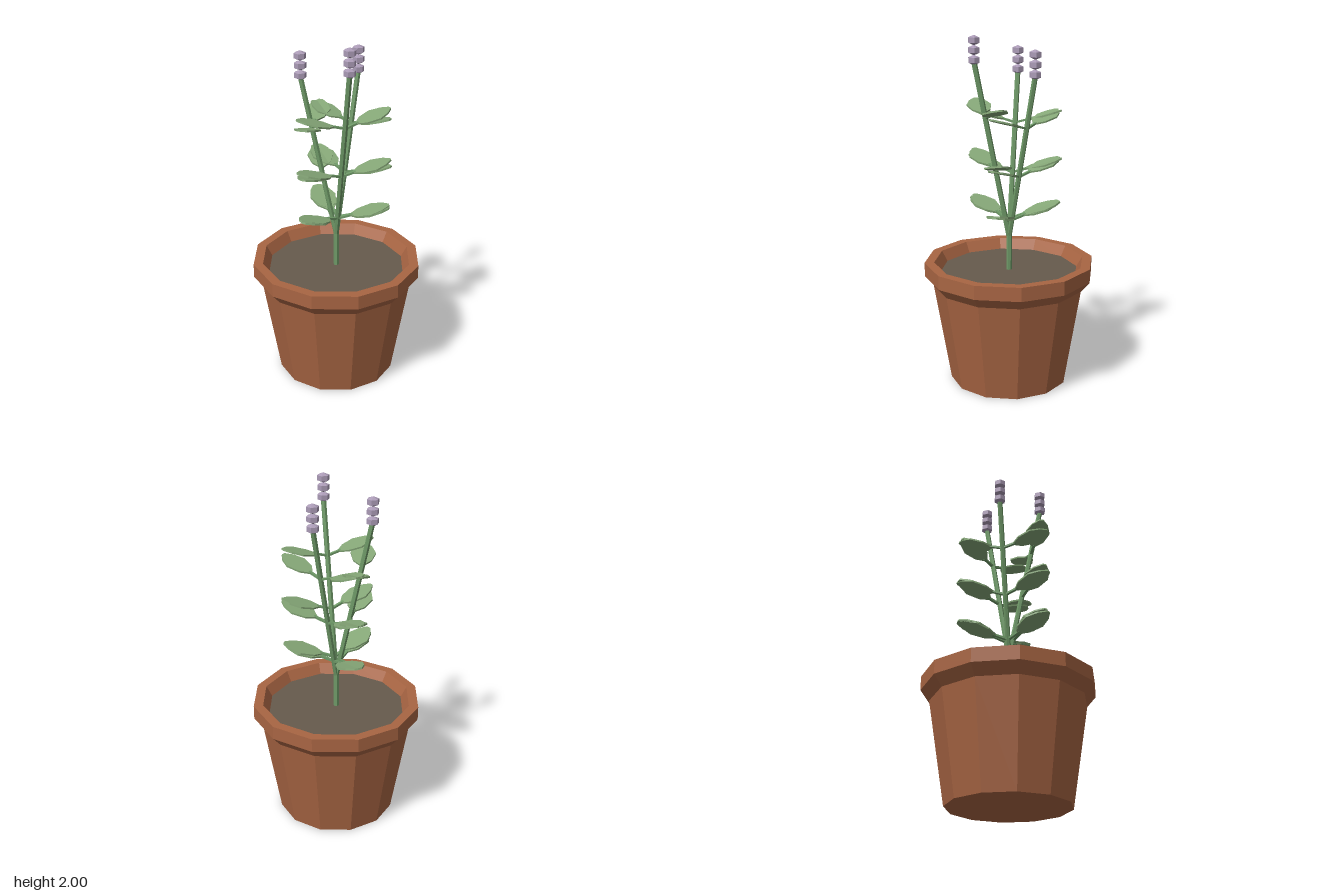
import * as THREE from 'three';

const mat = (name, color) => {
  const m = new THREE.MeshStandardMaterial({ color, flatShading: true });
  m.name = name;
  return m;
};

export function createModel() {
  const clay = mat('clay', 0xa86543);
  const soil = mat('soil', 0x665a4c);
  const stemGreen = mat('stem green', 0x6f9a68);
  const leafGreen = mat('leaf green', 0x86a878);
  const lilac = mat('lilac', 0xab9bb6);
  const model = new THREE.Group();
  model.name = 'pottedPlant';

  const add = (name, geometry, material, parent = model) => {
    const mesh = new THREE.Mesh(geometry, material);
    mesh.name = name;
    parent.add(mesh);
    return mesh;
  };
  const lathe = (pts) => new THREE.LatheGeometry(pts.map(p => new THREE.Vector2(...p)), 12);

  // Thin six-sided rod between two points
  const rod = (a, b, r) => {
    const dir = b.clone().sub(a);
    const g = new THREE.CylinderGeometry(r, r, dir.length(), 6);
    g.applyQuaternion(new THREE.Quaternion().setFromUnitVectors(
      new THREE.Vector3(0, 1, 0), dir.normalize()));
    const mid = a.clone().add(b).multiplyScalar(0.5);
    return g.translate(mid.x, mid.y, mid.z);
  };

  // Twelve-sided pot with a flared rim, and its soil
  add('pot', lathe([[0, 0], [0.345, 0], [0.44, 0.58], [0.49, 0.64], [0.49, 0.72],
    [0.435, 0.72], [0.395, 0.65]]), clay);
  add('soil', lathe([[0.4, 0.66], [0, 0.66]]), soil);

  // Shared stalk
  const fork = new THREE.Vector3(0, 0.86, 0);
  add('stalk', rod(new THREE.Vector3(0, 0.64, 0), fork.clone().setY(0.88), 0.016), stemGreen);

  // Leaf plate and its stalk, both running along +x
  const half = [[0.075, 0.01], [0.12, 0.055], [0.2, 0.078], [0.265, 0.05], [0.305, 0.012]];
  const outline = [...half, ...half.map(([x, y]) => [x, -y]).reverse()];
  const blade = new THREE.ExtrudeGeometry(
    new THREE.Shape(outline.map(p => new THREE.Vector2(...p))),
    { depth: 0.01, bevelEnabled: false });
  blade.rotateX(-Math.PI / 2).translate(0, -0.005, 0);
  const leafStalk = new THREE.BoxGeometry(0.09, 0.012, 0.018).translate(0.045, 0, 0);
  const bead = new THREE.SphereGeometry(0.039, 6, 3).scale(1, 0.72, 1);

  // Leaves gather in the three gaps between the branches
  const gaps = { left: [0.18, 0.07], right: [-0.155, 0.12], back: [-0.03, -0.19] };
  const branches = [
    { tip: [-0.18, 1.79, -0.075], sides: ['right', 'back'] },
    { tip: [0.155, 1.79, -0.12], sides: ['left', 'back'] },
    { tip: [0.022, 1.86, 0.195], sides: ['left', 'right'] },
  ];
  branches.forEach(({ tip, sides }) => {
    const end = new THREE.Vector3(...tip);
    const group = new THREE.Group();
    group.name = 'branch';
    model.add(group);
    add('branchStem', rod(fork, end, 0.015), stemGreen, group);

    // Three stacked blossoms at the tip
    for (let i = 0; i < 3; i++) {
      add('blossom', bead, lilac, group).position.set(tip[0], tip[1] + 0.01 + i * 0.053, tip[2]);
    }

    // A pair of leaves at each of three heights
    [0.11, 0.39, 0.69].forEach((t, level) => {
      const node = fork.clone().lerp(end, t);
      sides.forEach(side => {
        const [gx, gz] = gaps[side];
        const out = 0.08 * level;
        const dx = gx + end.x * out - node.x;
        const dz = gz + end.z * out - node.z;
        const leaf = new THREE.Group();
        leaf.name = 'leaf';
        leaf.position.copy(node);
        leaf.rotation.set(0, Math.atan2(-dz, dx), 0.28);
        leaf.scale.setScalar(1 - 0.04 * level);
        add('leafBlade', blade, leafGreen, leaf);
        add('leafStalk', leafStalk, stemGreen, leaf);
        group.add(leaf);
      });
    });
  });
  return model;
}
